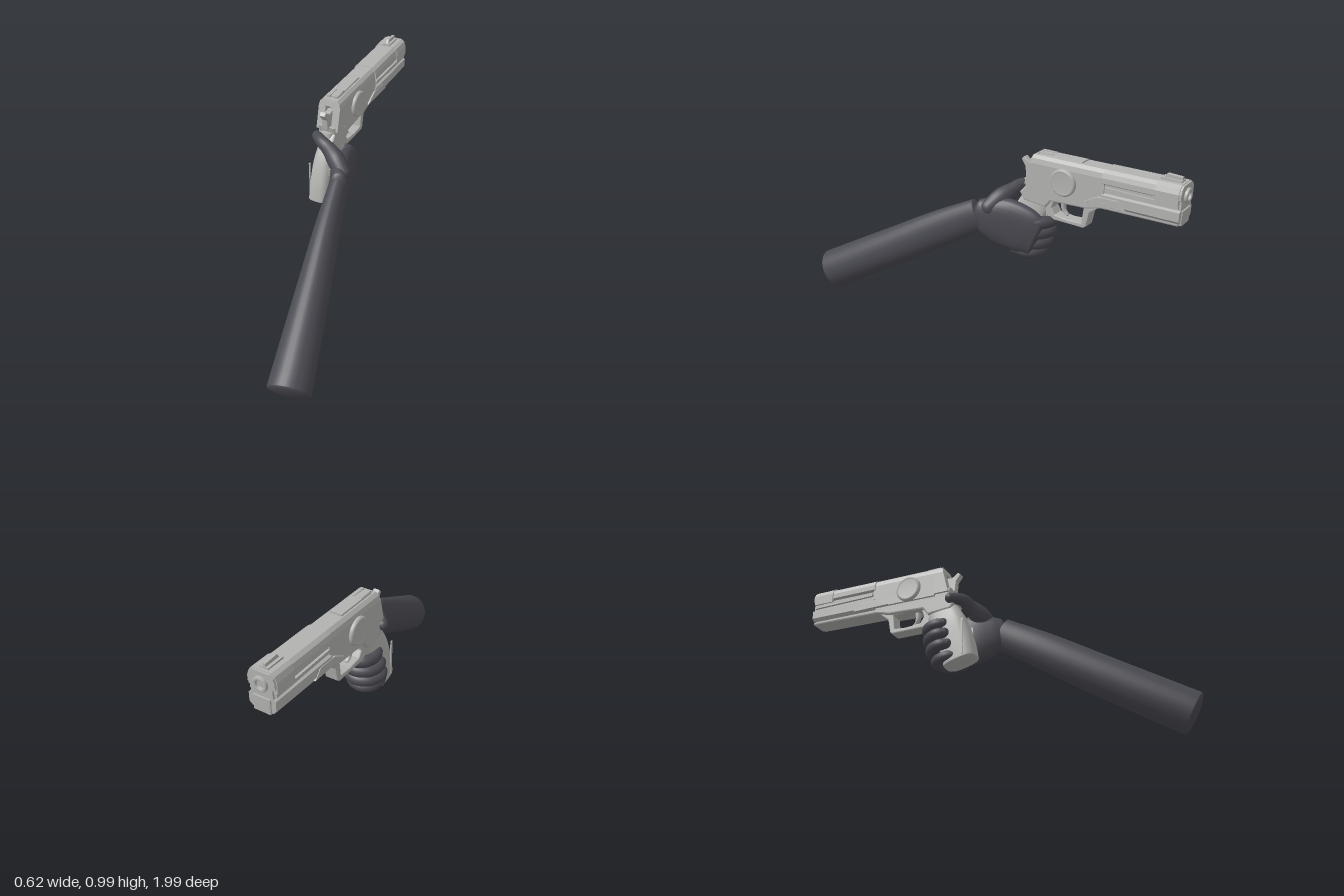
import * as THREE from 'three';

const metal = new THREE.MeshStandardMaterial({ color: 0xb2b2b0 });
metal.name = 'pale grey metal';
const sleeve = new THREE.MeshStandardMaterial({ color: 0x4b4b53 });
sleeve.name = 'dark grey sleeve and glove';

function add(parent, name, geometry, material) {
  const mesh = new THREE.Mesh(geometry, material);
  mesh.name = name;
  parent.add(mesh);
  return mesh;
}

// Skin of elliptical rings along points [x, y, z, halfWidth, halfHeight].
// cap: roundness of the ends, power: below 1 makes the section boxier.
function loft(pts, { steps = 24, sides = 20, cap = 0.9, power = 1, up = [0, 1, 0] } = {}) {
  const path = new THREE.CatmullRomCurve3(pts.map(p => new THREE.Vector3(p[0], p[1], p[2])), false, 'catmullrom');
  const size = new THREE.CatmullRomCurve3(pts.map(p => new THREE.Vector3(p[3], p[4], 0)), false, 'catmullrom');
  const upV = new THREE.Vector3(...up);
  const rings = [];
  const ring = (t, k, push) => {
    const c = path.getPoint(t), s = size.getPoint(t), d = path.getTangent(t);
    c.addScaledVector(d, push * Math.min(s.x, s.y));
    rings.push({ c, d, a: s.x * k, b: s.y * k });
  };
  const bend = [0.15, 0.4, 0.7, 1.05, 1.4];
  [...bend].reverse().forEach(f => ring(0, Math.cos(f), -Math.sin(f) * cap));
  for (let i = 0; i <= steps; i++) ring(i / steps, 1, 0);
  bend.forEach(f => ring(1, Math.cos(f), Math.sin(f) * cap));

  const pos = [], index = [];
  const soft = v => Math.sign(v) * Math.pow(Math.abs(v), power);
  for (const r of rings) {
    const side = new THREE.Vector3().crossVectors(r.d, upV).normalize();
    const top = new THREE.Vector3().crossVectors(side, r.d);
    for (let j = 0; j < sides; j++) {
      const q = j / sides * Math.PI * 2;
      const p = r.c.clone().addScaledVector(side, r.a * soft(Math.cos(q))).addScaledVector(top, r.b * soft(Math.sin(q)));
      pos.push(p.x, p.y, p.z);
    }
  }
  const n = rings.length, first = n * sides, last = first + 1;
  pos.push(...rings[0].c.toArray(), ...rings[n - 1].c.toArray());
  for (let j = 0; j < sides; j++) {
    const k = (j + 1) % sides;
    for (let i = 0; i < n - 1; i++) {
      const a = i * sides, b = a + sides;
      index.push(a + j, b + j, a + k, b + j, b + k, a + k);
    }
    index.push(first, j, k, last, (n - 1) * sides + k, (n - 1) * sides + j);
  }
  const g = new THREE.BufferGeometry();
  g.setAttribute('position', new THREE.Float32BufferAttribute(pos, 3));
  g.setIndex(index);
  g.computeVertexNormals();
  return g;
}

const shapeOf = pts => new THREE.Shape(pts.map(p => new THREE.Vector2(p[0], p[1])));

// Side outline in (z, y), extruded across x and centred.
function sidePlate(pts, width, bevel = 0.008, hole) {
  const s = shapeOf(pts);
  if (hole) s.holes.push(new THREE.Path(hole.map(p => new THREE.Vector2(p[0], p[1]))));
  const g = new THREE.ExtrudeGeometry(s, {
    depth: width - 2 * bevel, bevelEnabled: bevel > 0, bevelThickness: bevel,
    bevelSize: bevel, bevelOffset: -bevel, bevelSegments: 2,
  });
  return g.translate(0, 0, bevel - width / 2).rotateY(-Math.PI / 2);
}

// Cross-section in (x, y) run from front z0 to rear z1, rising gently to the front.
function section(pts, z0, z1, slant = 0) {
  const g = new THREE.ExtrudeGeometry(shapeOf(pts), { depth: z1 - z0, bevelEnabled: false }).translate(0, 0, z0);
  const p = g.attributes.position;
  for (let i = 0; i < p.count; i++) {
    const y = p.getY(i), z = p.getZ(i);
    p.setY(i, y + (-z - 0.15) * 0.02);
    if (z > z1 - 1e-4) p.setZ(i, z + (0.955 - y) * slant);
  }
  g.computeVertexNormals();
  return g;
}
const mirrored = half => [...half, ...half.slice().reverse().map(([x, y]) => [-x, y])];

function box(w, h, d, x, y, z) {
  return new THREE.BoxGeometry(w, h, d).translate(x, y, z);
}

function buildPistol() {
  const gun = new THREE.Group();
  gun.name = 'pistol';
  const m = (name, g) => add(gun, name, g, metal);

  // Slide: slotted rear, plain middle, grooved front
  const shoulder = [[0.062, 0.915], [0.056, 0.94], [0.04, 0.955]];
  m('slideRear', section(mirrored([[0.022, 0.92], [0.022, 0.795], [0.062, 0.795], ...shoulder]), -0.25, -0.19, 0.25));
  m('slideMiddle', section(mirrored([[0.062, 0.785], ...shoulder]), -0.6, -0.23));
  m('slideFront', section(mirrored([
    [0.052, 0.775], [0.068, 0.79], [0.068, 0.835], [0.055, 0.842], [0.055, 0.885],
    [0.068, 0.893], [0.068, 0.92], [0.06, 0.943], [0.042, 0.957],
  ]), -0.985, -0.59));
  m('slideTopStrip', section(mirrored([[0.034, 0.95], [0.03, 0.962]]), -0.46, -0.22));
  m('frontCollar', section(mirrored([[0.073, 0.87], [0.073, 0.922], [0.062, 0.948], [0.044, 0.96]]), -0.975, -0.86));
  for (const s of [-1, 1]) {
    m('sideRib', box(0.016, 0.018, 0.37, s * 0.059, 0.875, -0.79));
    m('sideStep', sidePlate([[-0.5, 0.79], [-0.57, 0.83], [-0.68, 0.835], [-0.72, 0.79]], 0.012, 0.002).translate(s * 0.065, 0, 0));
    const disc = m('sideDisc', new THREE.LatheGeometry([
      [0.07, 0], [0.07, 0.012], [0.064, 0.019], [0.057, 0.019], [0.055, 0.016], [0, 0.016],
    ].map(p => new THREE.Vector2(...p)), 36).rotateZ(-s * Math.PI / 2));
    disc.position.set(s * 0.06, 0.855, -0.38);
    disc.material = metal;
    m('rearSight', box(0.016, 0.022, 0.08, s * 0.02, 0.957, -0.25));
  }

  // Muzzle, lug and front sight
  m('muzzle', new THREE.LatheGeometry([
    [0.036, 0], [0.036, 0.03], [0.032, 0.034], [0.022, 0.034], [0.02, 0.03], [0.02, 0.012], [0, 0.012],
  ].map(p => new THREE.Vector2(...p)), 28).rotateX(-Math.PI / 2).translate(0, 0.918, -0.965));
  m('muzzleLug', sidePlate([[-0.95, 0.78], [-0.99, 0.78], [-0.992, 0.855], [-0.95, 0.86]], 0.09, 0.005));
  m('frontSightBase', box(0.044, 0.014, 0.1, 0, 0.977, -0.912));
  m('frontSight', sidePlate([[-0.865, 0.975], [-0.96, 0.975], [-0.96, 1.0], [-0.885, 1.003]], 0.016, 0.002));

  // Frame, trigger guard and trigger
  m('frame', sidePlate([
    [-0.14, 0.82], [-0.975, 0.82], [-0.975, 0.775], [-0.58, 0.763], [-0.5, 0.742],
    [-0.3, 0.73], [-0.27, 0.69], [-0.14, 0.7], [-0.115, 0.74], [-0.15, 0.78],
  ], 0.1));
  m('triggerGuard', sidePlate([
    [-0.25, 0.77], [-0.58, 0.77], [-0.515, 0.715], [-0.5, 0.64], [-0.485, 0.628], [-0.27, 0.628],
  ], 0.07, 0.006, [
    [-0.315, 0.735], [-0.3, 0.69], [-0.32, 0.658], [-0.4, 0.65], [-0.472, 0.655], [-0.482, 0.735],
  ]));
  m('trigger', loft([
    [0, 0.75, -0.355, 0.016, 0.016], [0, 0.71, -0.35, 0.016, 0.014],
    [0, 0.68, -0.357, 0.014, 0.011], [0, 0.662, -0.375, 0.012, 0.008],
  ], { steps: 10, sides: 12, up: [0, 0, 1] }));
  m('hammer', sidePlate([
    [-0.2, 0.81], [-0.13, 0.81], [-0.125, 0.87], [-0.1, 0.905], [-0.115, 0.92], [-0.15, 0.895], [-0.2, 0.9],
  ], 0.034, 0.004));

  // Grip, narrow under the slide and full towards the butt
  m('grip', loft([
    [0, 0.77, -0.215, 0.042, 0.085], [0, 0.7, -0.2, 0.045, 0.085], [0, 0.61, -0.155, 0.058, 0.09],
    [0, 0.5, -0.118, 0.061, 0.092], [0, 0.405, -0.094, 0.061, 0.088],
  ], { cap: 0.2, power: 0.65, sides: 32, up: [0, 0, 1] }));
  for (const s of [-1, 1]) {
    m('gripPanelRidge', box(0.006, 0.2, 0.012, s * 0.06, 0.52, -0.065).rotateX(0));
  }

  gun.position.x = -0.21;
  gun.rotation.y = 0.022;
  return gun;
}

function buildArm() {
  const arm = new THREE.Group();
  arm.name = 'arm';
  const m = (name, g) => add(arm, name, g, sleeve);

  m('forearm', loft([
    [-0.035, 0.615, 0.045, 0.05, 0.085], [0.02, 0.49, 0.27, 0.066, 0.098],
    [0.085, 0.35, 0.51, 0.082, 0.105], [0.2, 0.11, 0.935, 0.106, 0.11],
  ], { cap: 0.2, sides: 28 }));
  m('palm', loft([
    [-0.035, 0.615, 0.05, 0.046, 0.085], [-0.055, 0.605, 0, 0.054, 0.108], [-0.085, 0.585, -0.08, 0.055, 0.135],
    [-0.11, 0.56, -0.18, 0.046, 0.132], [-0.125, 0.535, -0.245, 0.034, 0.112],
  ], { cap: 0.6, power: 0.85, sides: 28 }));

  // Thumb over the back of the grip
  m('thumb', loft([
    [-0.04, 0.66, -0.01, 0.04, 0.045], [-0.1, 0.705, -0.045, 0.046, 0.055], [-0.16, 0.738, -0.075, 0.036, 0.042],
    [-0.215, 0.758, -0.095, 0.031, 0.033], [-0.268, 0.754, -0.14, 0.026, 0.027],
  ]));

  // Four fingers curled round the front of the grip
  [[0.61, -0.292], [0.548, -0.28], [0.485, -0.264], [0.425, -0.236]].forEach(([y, z], i) => {
    const r = i === 3 ? 0.029 : 0.032, x = i === 3 ? 0.02 : i === 0 ? 0.012 : 0;
    m('finger', loft([
      [-0.115, y + 0.015, z + 0.11, r, r + 0.002], [-0.132, y + 0.006, z + 0.03, r, r + 0.001],
      [-0.195, y, z, r, r], [-0.255 + x / 2, y, z + 0.025, r, r],
      [-0.283 + x, y + 0.004, z + 0.08, r * 0.93, r * 0.93], [-0.272 + x, y + 0.008, z + 0.12, r * 0.8, r * 0.85],
    ], { sides: 16 }));
  });
  return arm;
}

export function createModel() {
  const model = new THREE.Group();
  model.name = 'armWithPistol';
  model.add(buildPistol(), buildArm());
  return model;
}
